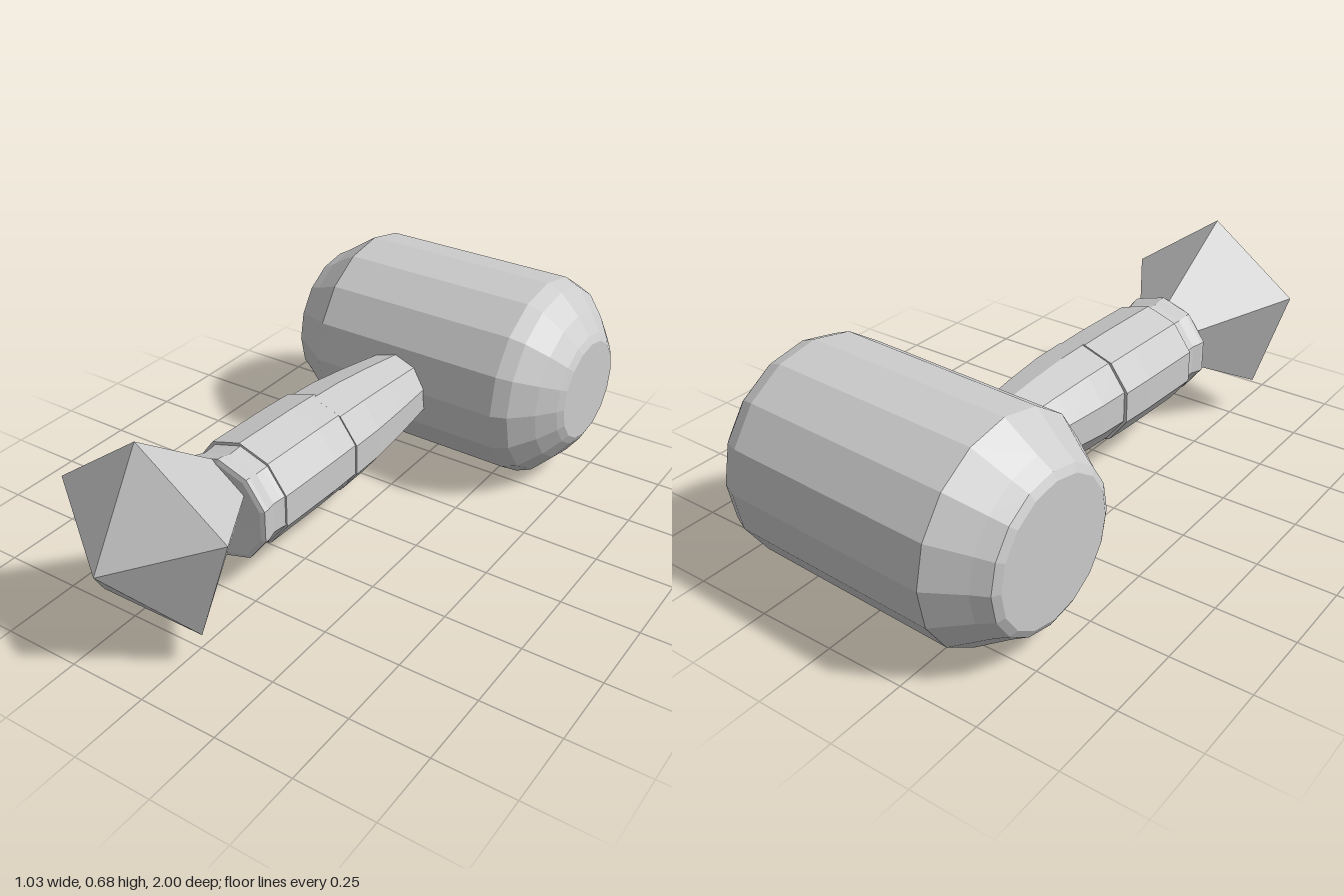
import * as THREE from 'three';

const material = new THREE.MeshStandardMaterial({ color: 0xcccccc, flatShading: true });

// Faceted turned solid; profile is [radius, height] from bottom to top.
function turned(name, profile, sides, phiStart = 0) {
  const points = profile.map(([r, h]) => new THREE.Vector2(r, h));
  const mesh = new THREE.Mesh(new THREE.LatheGeometry(points, sides, phiStart), material);
  mesh.name = name;
  return mesh;
}

export function createModel() {
  const model = new THREE.Group();
  model.name = 'mallet';
  const yaw = -0.036; // the whole tool is turned slightly

  // Barrel-shaped head lying along x, stepped on the left end, rounded on the right
  const head = turned('head', [
    [0, -0.505], [0.215, -0.505], [0.238, -0.492], [0.265, -0.445], [0.335, -0.34],
    [0.335, 0.335], [0.315, 0.385], [0.25, 0.45], [0.19, 0.495], [0.165, 0.508], [0, 0.508],
  ], 16);
  head.geometry.rotateZ(-Math.PI / 2);
  head.position.set(0, 0.343, -0.653);
  head.rotation.set(0, yaw, 0.013);
  model.add(head);

  // Handle pieces run along z; x offset lets the sleeve sit a little to one side
  const handle = new THREE.Group();
  handle.name = 'handle';
  handle.position.set(-0.064, 0.322, 0);
  handle.rotation.y = yaw;
  model.add(handle);
  const addHandlePart = (name, profile, x) => {
    const part = turned(name, profile, 10);
    part.geometry.rotateX(Math.PI / 2).scale(1.04, 1, 1);
    part.position.x = x;
    handle.add(part);
  };
  addHandlePart('shaft', [
    [0, -0.42], [0.11, -0.42], [0.123, -0.33], [0.145, -0.16], [0.159, -0.02], [0.163, 0.1], [0, 0.1],
  ], 0.002);
  addHandlePart('gripSleeve', [
    [0, 0.085], [0.165, 0.085], [0.168, 0.2], [0.168, 0.435], [0, 0.435],
  ], -0.006);
  addHandlePart('collar', [
    [0.162, 0.42], [0.157, 0.45], [0.155, 0.48], [0.164, 0.515], [0.164, 0.53], [0.15, 0.535], [0, 0.525],
  ], -0.003);

  // Five-sided double pyramid as the pommel, its long point sunk in the handle
  const gem = turned('pommelGem', [[0, -0.45], [0.307, 0], [0, 0.19]], 5, Math.PI);
  gem.geometry.rotateX(Math.PI / 2);
  const p = gem.geometry.attributes.position;
  for (let i = 0; i < p.count; i++) {
    if (p.getZ(i) < -0.1) p.setXY(i, 0.018, -0.01);
    else if (p.getZ(i) > 0.1) p.setXY(i, -0.006, -0.012);
  }
  gem.position.set(-0.119, 0.37, 0.81);
  model.add(gem);

  return model;
}
